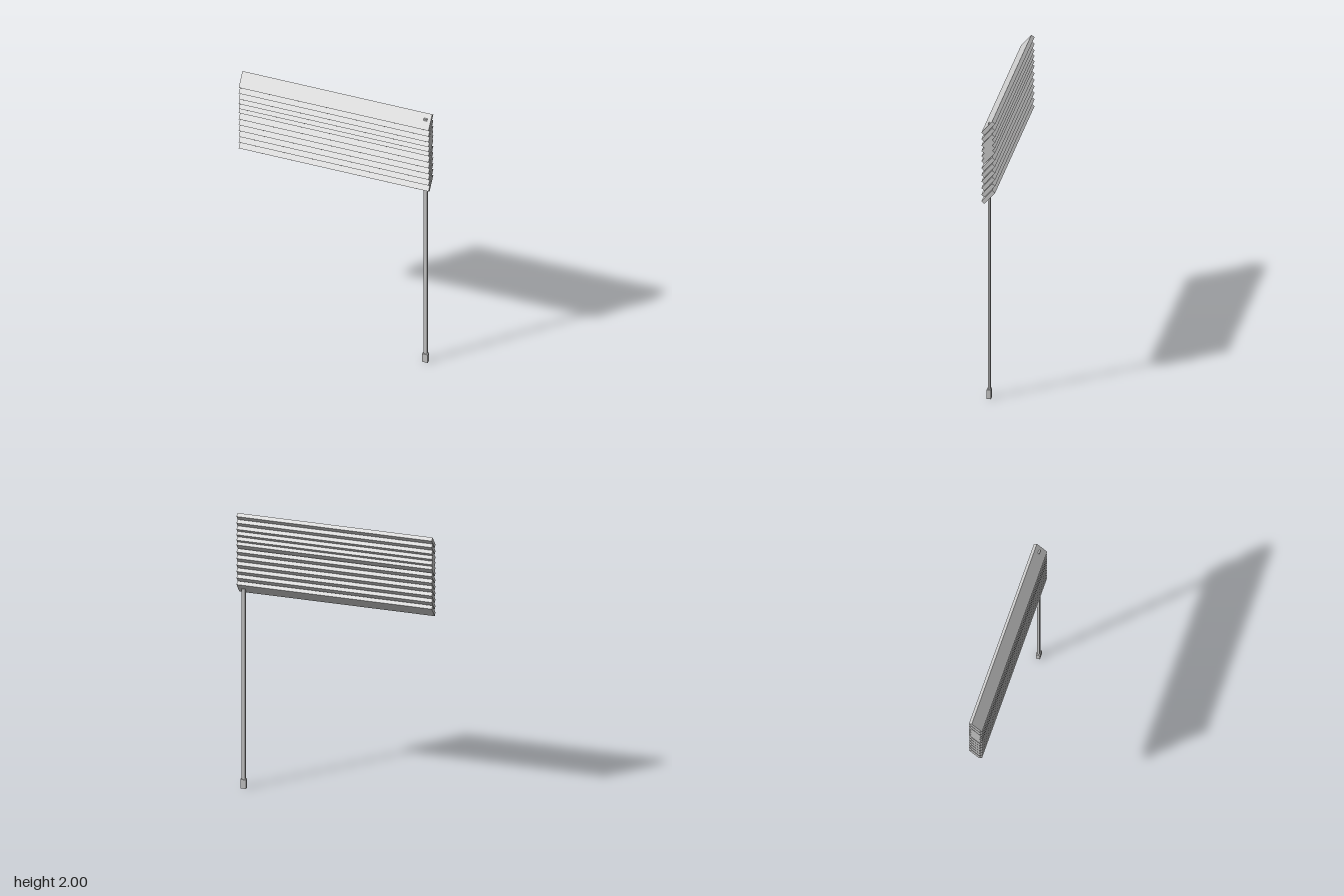
import * as THREE from 'three';

export function createModel() {
  const group = new THREE.Group();
  group.name = 'windowBlind';
  const material = new THREE.MeshStandardMaterial({ color: 0xcccccc, flatShading: true });

  function box(name, w, h, d, x, y, z = 0) {
    const mesh = new THREE.Mesh(new THREE.BoxGeometry(w, h, d), material);
    mesh.name = name;
    mesh.position.set(x, y, z);
    group.add(mesh);
    return mesh;
  }

  // Tilted slats, bunched slightly closer near the middle
  const slatHeights = [1.949, 1.902, 1.856, 1.817, 1.778, 1.743, 1.692, 1.645, 1.598, 1.551, 1.504, 1.456];
  slatHeights.forEach((y, i) => {
    const slat = box(`slat${i + 1}`, 1.306, 0.11, 0.026, 0, y);
    slat.rotation.x = -THREE.MathUtils.degToRad(39.5);
  });

  // Tilt wand, its tip poking through the top slat, with a grip at the bottom
  const wandX = 0.617, wandTop = 1.973, gripHeight = 0.065;
  box('wand', 0.024, wandTop - gripHeight, 0.016, wandX, (wandTop + gripHeight) / 2);
  box('wandGrip', 0.038, gripHeight, 0.028, wandX, gripHeight / 2);

  return group;
}
